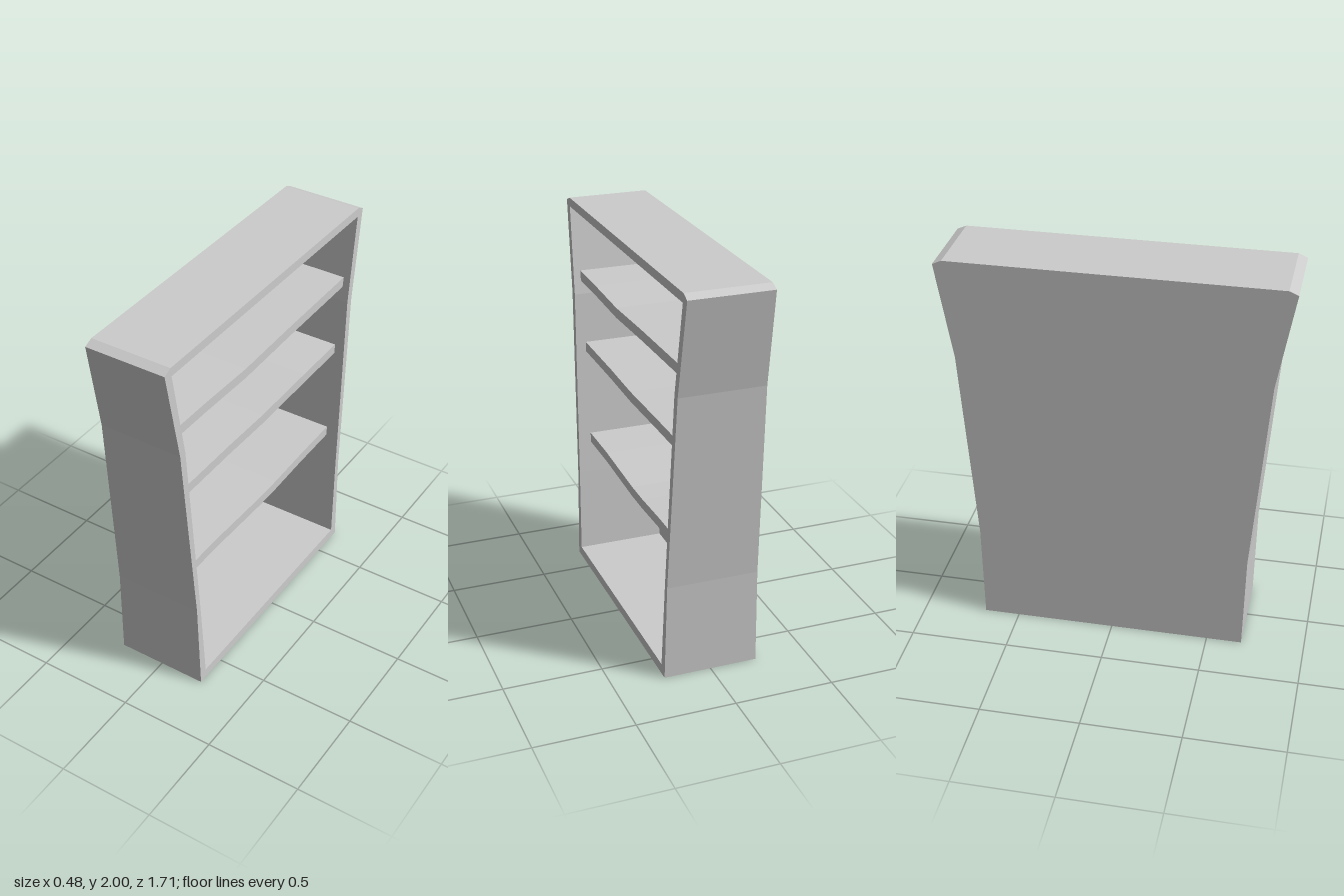
import * as THREE from 'three';

// Half-width against height, for the flared outside and the opening
const outer = [[0.68, 0], [0.69, 0.5], [0.77, 1.5], [0.855, 1.98], [0.81, 2]];
const inner = [[0.635, 0.05], [0.66, 0.5], [0.73, 1.5], [0.805, 1.955]];

// The case gets shallower towards the top
const backX = (y) => -0.24 + 0.015 * y;
const frontX = (y) => 0.24 - 0.0175 * y;
const panelX = (y) => backX(y) + 0.015 + 0.006 * y;

const mirrored = (side) => [
  ...side.map(([w, y]) => new THREE.Vector2(w, y)),
  ...side.slice().reverse().map(([w, y]) => new THREE.Vector2(-w, y)),
];

function innerWidth(y) {
  for (let i = 1; i < inner.length; i++) {
    const [w0, y0] = inner[i - 1], [w1, y1] = inner[i];
    if (y <= y1) return THREE.MathUtils.mapLinear(y, y0, y1, w0, w1);
  }
  return inner[inner.length - 1][0];
}

// Extrude a side-on outline along x, between two x limits that depend on height
function slab(name, shape, x0, x1, material) {
  const geo = new THREE.ExtrudeGeometry(shape, { depth: 1, bevelEnabled: false });
  geo.rotateY(Math.PI / 2);
  const p = geo.attributes.position;
  for (let i = 0; i < p.count; i++) {
    p.setX(i, THREE.MathUtils.lerp(x0(p.getY(i)), x1(p.getY(i)), p.getX(i)));
  }
  geo.computeVertexNormals();
  const mesh = new THREE.Mesh(geo, material);
  mesh.name = name;
  return mesh;
}

export function createModel() {
  const group = new THREE.Group();
  group.name = 'bookcase';
  const material = new THREE.MeshStandardMaterial({ color: 0xcccccc, flatShading: true });

  // Outer frame with its opening, and the back panel
  const frame = new THREE.Shape(mirrored(outer));
  frame.holes.push(new THREE.Path(mirrored(inner)));
  group.add(slab('frame', frame, panelX, frontX, material));
  group.add(slab('backPanel', new THREE.Shape(mirrored(outer)), backX, panelX, material));

  // Sagging shelves: heights of the top edge at [+z end, sag point, -z end]
  const shelves = [
    { name: 'lowerShelf', ends: [0.72, 0.72], sag: [[0.4, 0.72], [0, 0.703], [-0.15, 0.704], [-0.4, 0.715]], front: 0.16 },
    { name: 'middleShelf', ends: [1.235, 1.235], sag: [[0.3, 1.233], [0, 1.225], [-0.4, 1.232]], front: 0.165 },
    { name: 'upperShelf', ends: [1.622, 1.625], sag: [[0.5, 1.618], [0.17, 1.606], [-0.2, 1.617]], front: 0.175 },
  ];
  for (const { name, ends, sag, front } of shelves) {
    const thickness = 0.052;
    const edge = (drop) => [
      new THREE.Vector2(-innerWidth(ends[0] - drop), ends[0] - drop),
      ...sag.map(([z, y]) => new THREE.Vector2(-z, y - drop)),
      new THREE.Vector2(innerWidth(ends[1] - drop), ends[1] - drop),
    ];
    const outline = new THREE.Shape([...edge(thickness), ...edge(0).reverse()]);
    group.add(slab(name, outline, panelX, () => front, material));
  }
  return group;
}
